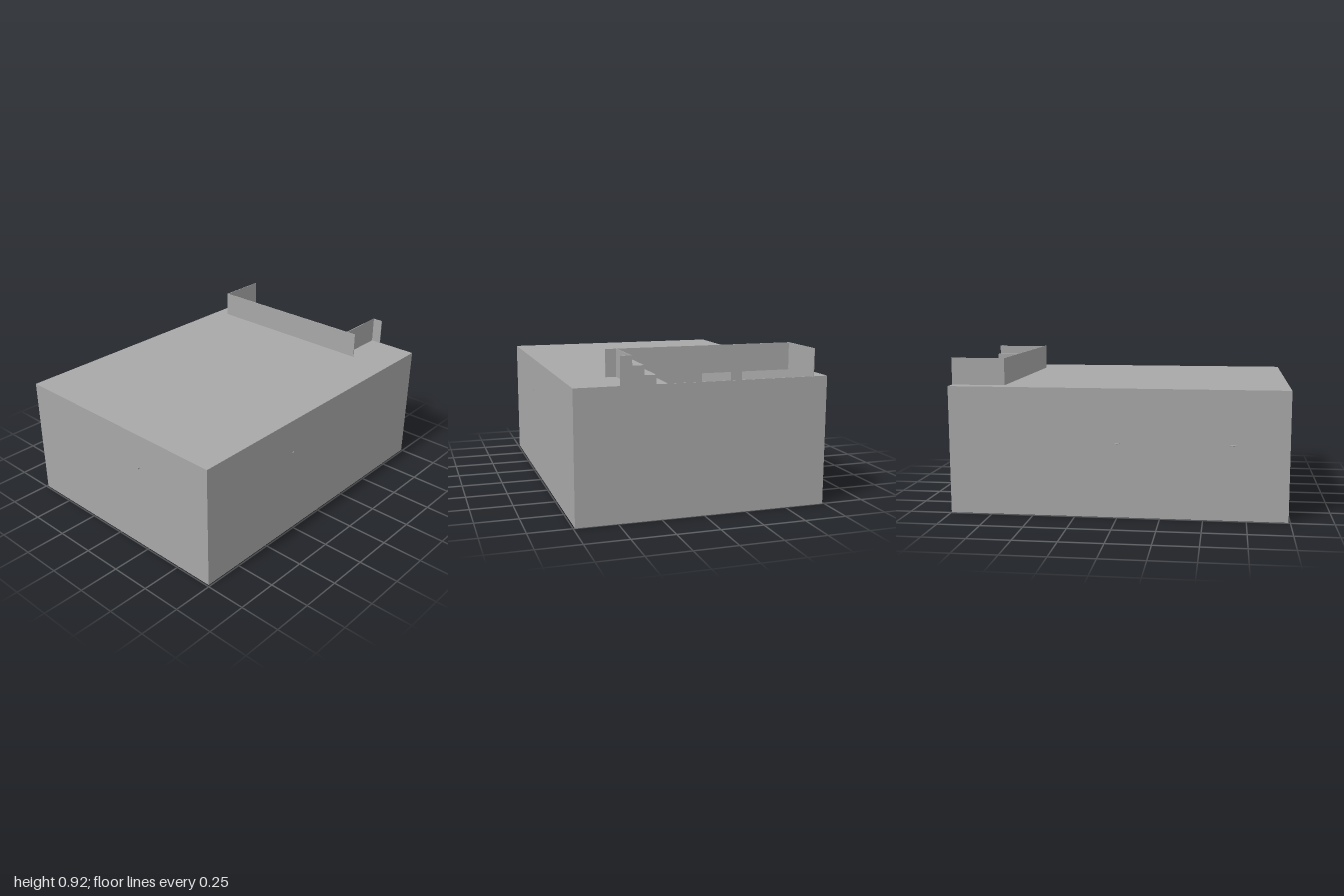
import * as THREE from 'three';

const T = 0.004; // sheet thickness
const W = 0.74, H = 0.76, ZB = -1, ZF = 0.99;
const WELL = { x0: -0.656, x1: 0.484, z: -0.68, top: 0.92 };
const STEPS = 17, RUN = (WELL.x1 - WELL.x0) / STEPS, RISE = WELL.top / STEPS;

export function createModel() {
  const model = new THREE.Group();
  const grey = new THREE.MeshStandardMaterial({ color: 0xa8a8a8, side: THREE.DoubleSide });
  grey.name = 'plain grey';

  const add = (name, geometry) => {
    const mesh = new THREE.Mesh(geometry, grey);
    mesh.name = name;
    model.add(mesh);
    return mesh;
  };
  // box given by its two opposite corners
  const slab = (name, x0, x1, y0, y1, z0, z1) =>
    add(name, new THREE.BoxGeometry(x1 - x0, y1 - y0, z1 - z0)
      .translate((x0 + x1) / 2, (y0 + y1) / 2, (z0 + z1) / 2));

  // Hollow room
  slab('floor', -W, W, 0, T, ZB, ZF);
  slab('frontWall', -W, W, 0, H, ZF - T, ZF);
  slab('leftWall', W - T, W, 0, H, ZB, ZF);
  slab('rightWall', -W, -W + T, 0, H, ZB, ZF);

  // Roof in pieces around the stairwell
  const wellEnd = WELL.x0 + 13 * RUN;
  slab('roof', -W, W, H - T, H, WELL.z, ZF);
  slab('roofRightStrip', -W, WELL.x0, H - T, H, ZB, WELL.z);
  slab('roofLeftStrip', wellEnd, W, H - T, H, ZB, WELL.z);

  // Back wall, its top edge stepped beside the upper stairs
  const wall = new THREE.Shape();
  wall.moveTo(-W, 0);
  wall.lineTo(W, 0);
  wall.lineTo(W, H);
  wall.lineTo(WELL.x1, H);
  for (let i = STEPS; i > 14; i--) {
    const x = WELL.x0 + (i - 1) * RUN;
    wall.lineTo(x + RUN, i * RISE);
    wall.lineTo(x, i * RISE);
  }
  wall.lineTo(WELL.x0 + 14 * RUN, H);
  wall.lineTo(-W, H);
  add('backWall', new THREE.ExtrudeGeometry(wall, { depth: T, bevelEnabled: false })
    .translate(0, 0, ZB));

  // Stairs rising towards the left; the last riser has no tread
  for (let i = 1; i <= STEPS; i++) {
    const x = WELL.x0 + (i - 1) * RUN, y = i * RISE;
    slab('riser', x, x + T, i === STEPS ? H : y - RISE, y, ZB + T, WELL.z);
    if (i < STEPS) slab('tread', x, x + RUN, y - T, y, ZB + T, WELL.z);
  }

  // Parapet above the roof
  slab('parapetFront', WELL.x0, WELL.x1, H, WELL.top, WELL.z - T, WELL.z);
  slab('parapetEnd', WELL.x0, WELL.x0 + T, H, WELL.top, ZB, WELL.z);

  // Partition beside the upper stairs, and a short beam under the roof
  slab('stairPartition', 0.02, WELL.x1, 0, H, WELL.z - T, WELL.z);
  slab('roofBeam', -0.35, -0.28, 0.7, H, WELL.z - T, WELL.z);

  // Small knobs and pins in the walls
  for (const z of [0, 0.67]) {
    const knob = add('rightKnob', new THREE.SphereGeometry(1, 12, 8));
    knob.scale.set(0.008, 0.004, 0.018);
    knob.position.set(-W, 0.44, z);
  }
  slab('leftPin', W, W + 0.004, 0.543, 0.549, 0.262, 0.27);
  slab('frontPin', 0.198, 0.206, 0.54, 0.551, ZF, 1);

  return model;
}
